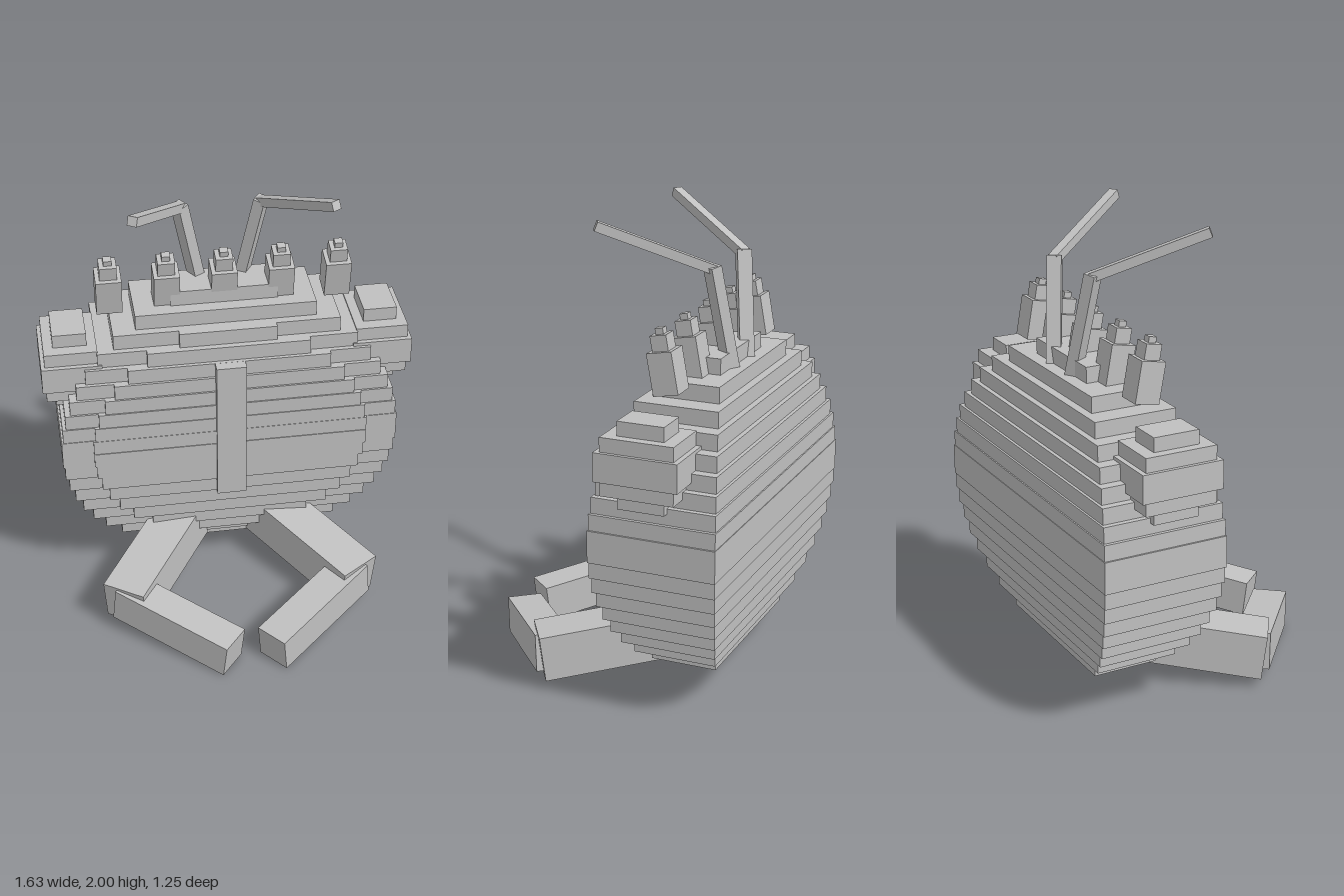
import * as THREE from 'three';

const grey = new THREE.MeshStandardMaterial({ color: 0xc0c0c0 });
grey.name = 'grey';

function box(parent, name, size, pos) {
  const mesh = new THREE.Mesh(new THREE.BoxGeometry(...size), grey);
  mesh.name = name;
  mesh.position.set(...pos);
  parent.add(mesh);
  return mesh;
}

// Ellipsoid made of stacked slabs, n layers on each side of the middle
function stack(parent, name, n, layer, rx, rz, [x, y, z]) {
  const group = new THREE.Group();
  group.name = name;
  group.position.set(x, y, z);
  for (let i = -n; i < n; i++) {
    const k = Math.sqrt(1 - ((i + 0.5) / n) ** 2);
    box(group, 'slab', [2 * rx * k, layer, 2 * rz * k], [0, (i + 0.5) * layer, 0]);
  }
  parent.add(group);
}

// Square beam running between two points
function beam(parent, name, a, b, width, height) {
  const from = new THREE.Vector3(...a), to = new THREE.Vector3(...b);
  const mid = from.clone().add(to).multiplyScalar(0.5);
  const mesh = box(parent, name, [width, height, from.distanceTo(to)], mid.toArray());
  mesh.lookAt(to);
}

export function createModel() {
  const model = new THREE.Group();
  model.name = 'steppedBeetle';

  // Round shell and the shallower belly set into its front
  stack(model, 'body', 10, 0.0685, 0.751, 0.275, [0, 0.755, -0.355]);
  stack(model, 'belly', 8, 0.0685, 0.612, 0.115, [0, 0.755, -0.185]);

  // Raised cross on the belly
  box(model, 'verticalBand', [0.132, 0.685, 0.06], [0, 0.823, -0.085]);
  box(model, 'horizontalBand', [1.214, 0.072, 0.03], [0, 0.72, -0.082]);

  // Row of stepped spikes leaning forward
  for (let i = -2; i <= 2; i++) {
    const spike = new THREE.Group();
    spike.name = 'spike';
    spike.position.set(i * 0.249, 1.36, -0.336);
    spike.rotation.x = 0.18;
    box(spike, 'spikeBase', [0.112, 0.175, 0.108], [0, 0.0875, 0]);
    box(spike, 'spikeMiddle', [0.075, 0.065, 0.07], [0, 0.2075, 0]);
    box(spike, 'spikeTip', [0.036, 0.025, 0.034], [0, 0.2525, 0]);
    model.add(spike);
  }

  for (const s of [1, -1]) {
    const side = s > 0 ? 'left' : 'right';

    // Shoulder knob
    stack(model, side + 'Shoulder', 3, 0.0605, 0.133, 0.181, [s * 0.682, 1.12, -0.317]);

    // Bent antenna
    beam(model, side + 'AntennaBase', [s * 0.09, 1.36, -0.43], [s * 0.176, 1.805, -0.376], 0.062, 0.05);
    beam(model, side + 'AntennaTip', [s * 0.168, 1.79, -0.385], [s * 0.412, 1.98, 0.03], 0.042, 0.04);

    // Folded leg
    beam(model, side + 'Thigh', [s * 0.18, 0.22, -0.265], [s * 0.53, 0.143, 0.255], 0.2, 0.2);
    beam(model, side + 'Shin', [s * 0.53, 0.15, 0.19], [s * 0.085, 0.083, 0.56], 0.152, 0.162);
  }
  return model;
}
